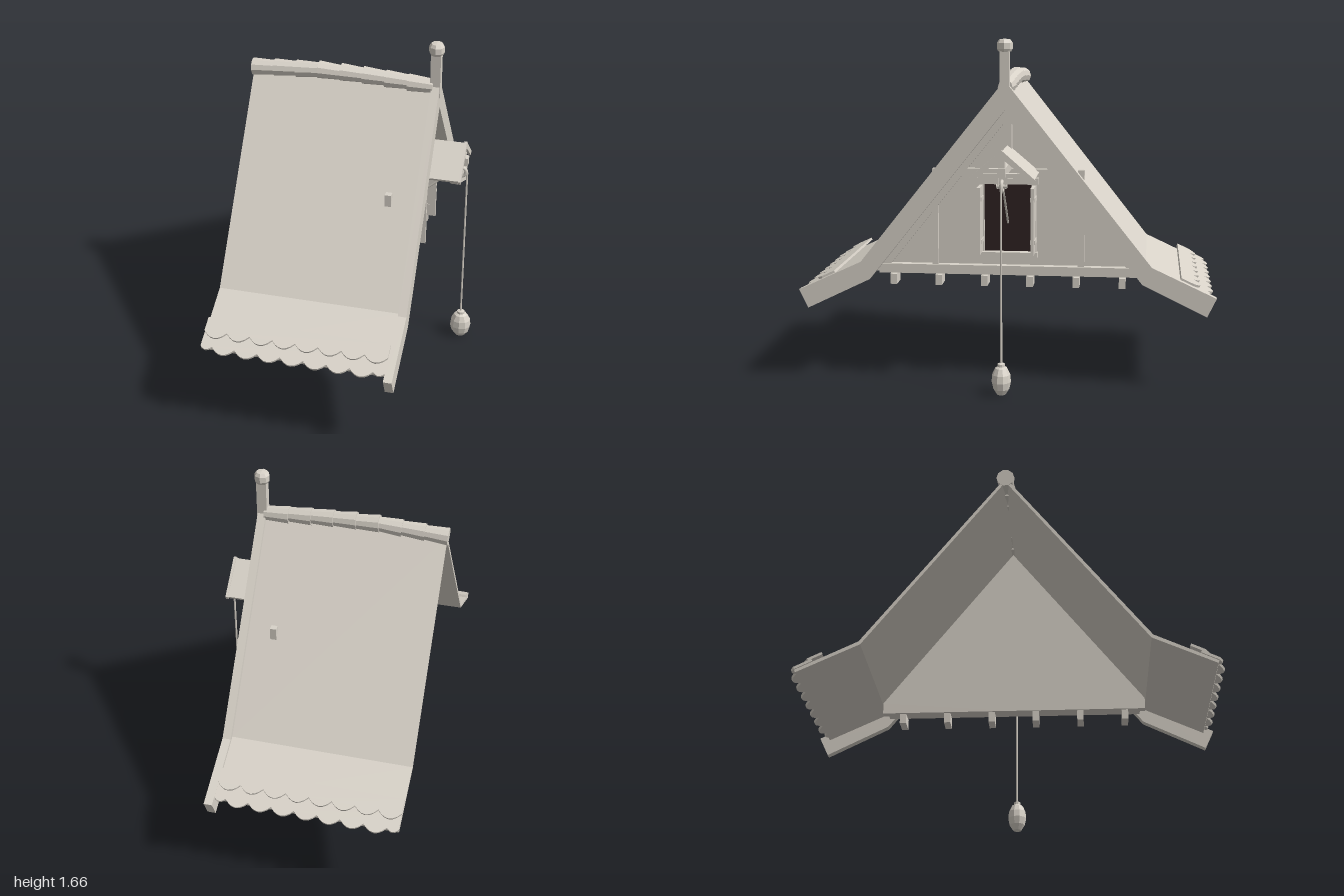
import * as THREE from 'three';

const pale = new THREE.MeshStandardMaterial({ color: 0xd8d2c8 });
const dark = new THREE.MeshStandardMaterial({ color: 0x2e2222 });
pale.name = 'pale stone grey';
dark.name = 'dark interior';

export function createModel() {
  const root = new THREE.Group();
  root.name = 'gabledRoof';

  const add = (name, geo, mat = pale, parent = root) => {
    const m = new THREE.Mesh(geo, mat);
    m.name = name;
    parent.add(m);
    return m;
  };
  const flat = (geo) => {
    const g = geo.index ? geo.toNonIndexed() : geo;
    g.computeVertexNormals();
    return g;
  };
  const box = (name, x0, x1, y0, y1, z0, z1, mat) => {
    const m = add(name, new THREE.BoxGeometry(x1 - x0, y1 - y0, z1 - z0), mat);
    m.position.set((x0 + x1) / 2, (y0 + y1) / 2, (z0 + z1) / 2);
    return m;
  };
  // Straight timber between two (z, y) points, spanning x0 to x1
  const bar = (name, a, b, w, x0, x1) => {
    const dz = b[0] - a[0], dy = b[1] - a[1];
    const m = add(name, new THREE.BoxGeometry(x1 - x0, Math.hypot(dz, dy), w));
    m.position.set((x0 + x1) / 2, (a[1] + b[1]) / 2, (a[0] + b[0]) / 2);
    m.rotation.x = Math.atan2(dz, dy);
    return m;
  };
  // Symmetric cross-section in (z, y), extruded from x0 to x1; half is listed from the ridge out and back
  const section = (name, half, x0, x1) => {
    const mirror = half.map(([z, y]) => [-z, y]).reverse();
    const pts = [...half, ...mirror].map(([z, y]) => new THREE.Vector2(z, y));
    const clean = pts.filter((p, i) => p.distanceTo(pts[(i + 1) % pts.length]) > 1e-5);
    const g = new THREE.ExtrudeGeometry(new THREE.Shape(clean), { depth: x1 - x0, bevelEnabled: false });
    g.rotateY(Math.PI / 2);
    g.translate(x0, 0, 0);
    return add(name, g);
  };

  // Roof covering with flared eaves, and the board along the gable edge
  section('roofCovering', [[0, 1.435], [0.668, 0.587], [0.955, 0.453], [0.95, 0.44], [0.66, 0.572], [0, 1.412]], -0.555, 0.318);
  section('bargeBoard', [[0, 1.465], [0.695, 0.592], [1.0, 0.45], [0.957, 0.36], [0.652, 0.508], [0, 1.325]], 0.315, 0.355);

  // Scalloped shingle rows at both eaves
  const L = 0.87;
  const shingleRow = (top, bottom, offset) => {
    const n = 8, w = L / n, h = L / 2;
    const s = new THREE.Shape();
    s.moveTo(h, -top);
    s.lineTo(-h, -top);
    s.lineTo(-h, -bottom);
    let x = -h;
    const stops = [];
    for (let i = offset ? 0.5 : 1; i < n; i++) stops.push(-h + i * w);
    stops.push(h);
    for (const e of stops) {
      s.quadraticCurveTo((x + e) / 2, -bottom - 0.065 * (e - x) / w, e, -bottom);
      x = e;
    }
    return new THREE.ExtrudeGeometry(s, { depth: 0.012, bevelEnabled: false, curveSegments: 6 });
  };
  for (const side of [1, -1]) {
    const eave = new THREE.Group();
    eave.name = side > 0 ? 'frontEave' : 'backEave';
    eave.position.x = -0.12;
    eave.rotation.y = side > 0 ? 0 : Math.PI;
    root.add(eave);
    [[0, 0.07, false, 0.016], [0.05, 0.138, true, 0.004]].forEach(([t, b, o, lift]) => {
      const row = add('shingleRow', shingleRow(t, b, o), pale, eave);
      row.position.set(0, 0.511 + lift, 0.83);
      row.rotation.x = -(Math.PI / 2 - 0.437);
    });
    // Small upright hook on each slope
    box('roofHook', 0.175, 0.205, 0.955, 1.028, side * 0.353 - 0.015, side * 0.353 + 0.015);
  }

  // Ridge tiles, each tapering into the next, on a slightly bowed line
  for (let i = 0; i < 8; i++) {
    const w = 0.109;
    const g = flat(new THREE.CylinderGeometry(0.035, 0.043, w + 0.012, 10));
    const t = add('ridgeTile', g);
    t.position.set(-0.555 + (i + 0.5) * w, 1.434 + 0.018 * Math.sin(Math.PI * (i + 0.3) / 7.2), 0);
    t.rotation.z = -Math.PI / 2 + (i < 3 ? 0.06 : -0.04);
  }

  // Finial post and knob
  box('finialPost', 0.31, 0.358, 1.38, 1.61, -0.022, 0.022);
  const knob = add('finialKnob', flat(new THREE.LatheGeometry(
    [[0, 1.597], [0.03, 1.597], [0.037, 1.61], [0.037, 1.638], [0.027, 1.653], [0, 1.657]].map(p => new THREE.Vector2(...p)), 8)));
  knob.position.x = 0.334;

  // Gable wall and timber frame
  section('gableWall', [[0, 1.4], [0.655, 0.57], [0.655, 0.515], [0, 0.515]], 0.15, 0.19);
  bar('sillBeam', [-0.63, 0.538], [0.63, 0.538], 0.045, 0.19, 0.23);
  bar('tieBeam', [-0.25, 1.015], [0.25, 1.015], 0.035, 0.19, 0.22);
  bar('kingPost', [0, 1.02], [0, 1.33], 0.04, 0.19, 0.22);
  for (const s of [1, -1]) {
    bar('gableRafter', [s * 0.61, 0.55], [0, 1.31], 0.045, 0.19, 0.22);
    bar('gablePost', [s * 0.355, 0.56], [s * 0.355, 0.86], 0.03, 0.19, 0.215);
    for (const z of [0.11, 0.333, 0.555]) {
      box('joistEnd', 0.16, 0.255, 0.465, 0.515, s * z - 0.016, s * z + 0.016);
    }
  }

  // Window with open shutters
  box('windowOpening', 0.188, 0.194, 0.625, 0.965, -0.12, 0.12, dark);
  box('lintel', 0.19, 0.235, 0.96, 0.99, -0.15, 0.15);
  box('windowSill', 0.19, 0.235, 0.602, 0.628, -0.145, 0.145);
  for (const s of [1, -1]) {
    box('windowJamb', 0.19, 0.215, 0.625, 0.965, s * 0.127 - 0.013, s * 0.127 + 0.013);
    box('shutter', 0.212, 0.33, 0.632, 0.955, s * 0.128 - 0.008, s * 0.128 + 0.008);
    for (const y of [0.69, 0.895]) {
      box('shutterHinge', 0.21, 0.3, y - 0.01, y + 0.01, s * 0.128 - 0.012, s * 0.128 + 0.012);
    }
  }

  // Hoist hood over the window
  section('hoodRoof', [[0, 1.147], [0.152, 1.018], [0.143, 1.004], [0, 1.125]], 0.19, 0.488);
  section('hoodEdge', [[0, 1.155], [0.157, 1.018], [0.145, 0.998], [0, 1.118]], 0.482, 0.494);
  box('hoistBeam', 0.19, 0.505, 1.03, 1.07, -0.018, 0.018);
  bar('hoodPost', [0, 1.06], [0, 1.13], 0.03, 0.45, 0.482);
  bar('hoodTie', [-0.11, 1.035], [0.11, 1.035], 0.02, 0.455, 0.48);

  // Pulley, rope and barrel-shaped weight
  const wheel = add('pulleyWheel', new THREE.TorusGeometry(0.024, 0.009, 8, 20));
  wheel.position.set(0.472, 0.985, 0);
  const axle = add('pulleyAxle', new THREE.CylinderGeometry(0.01, 0.01, 0.05, 10));
  axle.position.copy(wheel.position);
  axle.rotation.x = Math.PI / 2;
  for (const z of [-0.018, 0.018]) box('pulleyStrap', 0.464, 0.48, 0.975, 1.04, z - 0.004, z + 0.004);

  const path = new THREE.CurvePath();
  const v = (x, y) => new THREE.Vector3(x, y, 0);
  path.add(new THREE.LineCurve3(v(0.195, 0.768), v(0.448, 0.998)));
  path.add(new THREE.CubicBezierCurve3(v(0.448, 0.998), v(0.475, 1.025), v(0.502, 1.012), v(0.502, 0.98)));
  path.add(new THREE.LineCurve3(v(0.502, 0.98), v(0.502, 0.14)));
  add('rope', new THREE.TubeGeometry(path, 90, 0.005, 6));

  const weight = add('hoistWeight', flat(new THREE.LatheGeometry(
    [[0, 0], [0.025, 0.003], [0.045, 0.03], [0.054, 0.065], [0.05, 0.1], [0.034, 0.13], [0.02, 0.137], [0.02, 0.15], [0, 0.155]]
      .map(p => new THREE.Vector2(...p)), 10)));
  weight.position.x = 0.502;
  weight.scale.z = 0.85;

  return root;
}
